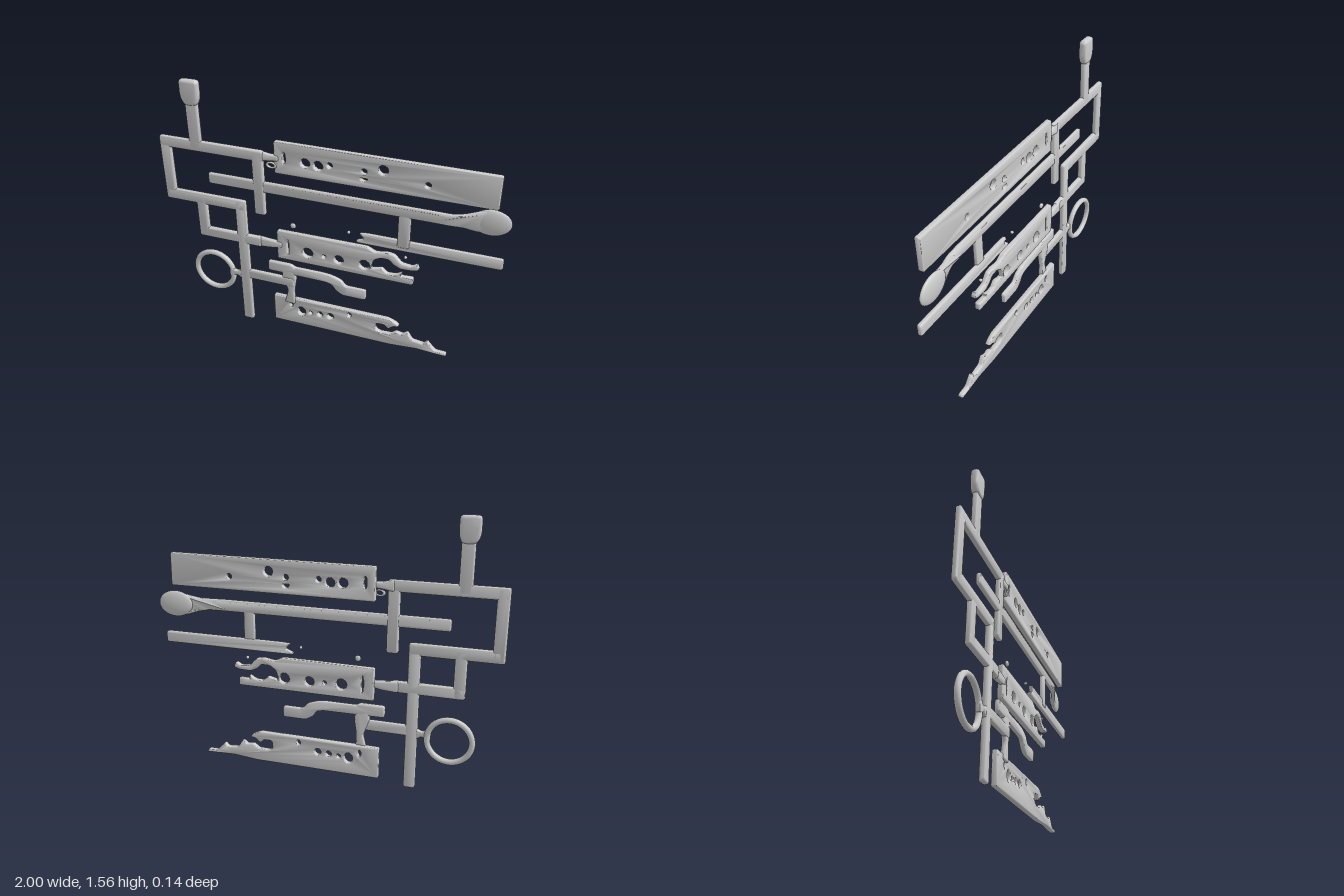
import * as THREE from 'three';
import { toCreasedNormals } from 'three/addons/utils/BufferGeometryUtils.js';

const material = new THREE.MeshStandardMaterial({ color: 0xcccccc });

// The whole relief leans slightly: depth falls to the right and rises with height
const lean = (x, y) => 0.004 - 0.02 * x + 0.019 * y;

// Closed outline with every corner softened
function softOutline(path, points, r) {
  const n = points.length;
  const v = points.map(([x, y]) => new THREE.Vector2(x, y));
  for (let i = 0; i < n; i++) {
    const p = v[i], a = v[(i + n - 1) % n], b = v[(i + 1) % n];
    const start = p.clone().lerp(a, Math.min(0.45, r / p.distanceTo(a)));
    const end = p.clone().lerp(b, Math.min(0.45, r / p.distanceTo(b)));
    if (i === 0) path.moveTo(start.x, start.y);
    else path.lineTo(start.x, start.y);
    path.quadraticCurveTo(p.x, p.y, end.x, end.y);
  }
  path.closePath();
  return path;
}

export function createModel() {
  const group = new THREE.Group();

  function add(name, geometry) {
    const mesh = new THREE.Mesh(geometry, material);
    mesh.name = name;
    group.add(mesh);
    return mesh;
  }

  // Bevelled flat piece; holes are [x, y, rx, ry]
  function plate(name, points, { holes = [], depth = 0.032, z = 0, r = 0.016, bevel = 0.011, bend = () => 0 } = {}) {
    const shape = softOutline(new THREE.Shape(), points, r);
    for (const [x, y, rx, ry = rx] of holes) {
      shape.holes.push(new THREE.Path().absellipse(x, y, rx + bevel * 0.2, ry + bevel * 0.2, 0, Math.PI * 2, true));
    }
    const geometry = new THREE.ExtrudeGeometry(shape, {
      depth: depth - 2 * bevel, bevelThickness: bevel, bevelSize: bevel,
      bevelOffset: -bevel, bevelSegments: 3, curveSegments: 5
    });
    const p = geometry.attributes.position;
    for (let i = 0; i < p.count; i++) {
      const x = p.getX(i), y = p.getY(i);
      p.setZ(i, p.getZ(i) - depth / 2 + bevel + z + lean(x, y) + bend(x));
    }
    return add(name, toCreasedNormals(geometry, 0.9));
  }

  const bar = (name, x0, x1, y0, y1, options) =>
    plate(name, [[x0, y0], [x1, y0], [x1, y1], [x0, y1]], options);

  // Upright stick with a thicker head
  bar('stick', -0.807, -0.733, 1.16, 1.5);
  plate('stickHead', [[-0.807, 1.425], [-0.733, 1.425], [-0.717, 1.47], [-0.717, 1.572], [-0.83, 1.572], [-0.83, 1.47]],
    { depth: 0.046, r: 0.025, bevel: 0.016 });

  // Stepped frame on the left
  bar('frameTop', -1, -0.36, 1.148, 1.215);
  plate('frameTopLink', [[-0.40, 1.148], [-0.33, 1.16], [-0.27, 1.165], [-0.27, 1.20], [-0.33, 1.20], [-0.40, 1.215]], { z: -0.005 });
  bar('frameSide', -1, -0.932, 0.805, 1.215);
  bar('frameBottom', -1, -0.487, 0.805, 0.875);
  bar('spine', -0.555, -0.487, 0.008, 0.875);
  bar('innerSide', -0.805, -0.738, 0.58, 0.86);
  bar('innerBottom', -0.805, -0.4, 0.58, 0.648);
  plate('innerLink', [[-0.44, 0.58], [-0.35, 0.585], [-0.27, 0.60], [-0.27, 0.635], [-0.35, 0.64], [-0.44, 0.648]], { z: -0.005 });
  bar('dropBar', -0.43, -0.362, 0.805, 1.2);

  // Long spoon bar whose tip swings back into a lens-shaped knob
  plate('spoonBar', [[-0.71, 0.955], [0.6, 0.955], [0.7, 0.953], [0.76, 0.945], [0.82, 0.925], [0.87, 0.925],
    [0.87, 1.055], [0.82, 1.045], [0.76, 1.028], [0.7, 1.022], [0.6, 1.024], [-0.71, 1.024]],
    { depth: 0.028, bend: x => -0.042 * THREE.MathUtils.smoothstep(x, 0.66, 0.87) });
  const knob = add('spoonKnob', new THREE.SphereGeometry(1, 32, 20));
  knob.scale.set(0.105, 0.077, 0.024);
  knob.position.set(0.892, 0.988, -0.04);
  knob.rotation.y = 0.06;
  bar('spoonPost', 0.412, 0.482, 0.76, 0.99, { depth: 0.026 });
  plate('railBar', [[0.18, 0.735], [0.985, 0.735], [0.985, 0.805], [0.24, 0.805], [0.19, 0.8], [0.225, 0.77], [0.175, 0.75]],
    { depth: 0.028, z: -0.006 });

  // Ring joined to the spine
  const ring = add('ring', new THREE.TorusGeometry(0.126, 0.018, 12, 48));
  ring.position.set(-0.735, 0.328, lean(-0.735, 0.328) - 0.006);
  plate('ringNeck', [[-0.63, 0.31], [-0.58, 0.335], [-0.53, 0.30], [-0.53, 0.39], [-0.58, 0.362], [-0.63, 0.38]], { depth: 0.026, bevel: 0.008 });

  // Lower branch with a cranked lever
  bar('branch', -0.53, -0.2, 0.328, 0.393, { depth: 0.03 });
  plate('branchPost', [[-0.27, 0.20], [-0.2, 0.20], [-0.205, 0.30], [-0.19, 0.39], [-0.2, 0.45], [-0.28, 0.45],
    [-0.28, 0.38], [-0.245, 0.3]], { depth: 0.03, z: -0.004 });
  plate('lever', [[-0.368, 0.42], [0.0, 0.415], [0.035, 0.405], [0.06, 0.37], [0.1, 0.345], [0.243, 0.345], [0.243, 0.415],
    [0.12, 0.415], [0.09, 0.45], [0.03, 0.47], [-0.02, 0.475], [-0.2, 0.475], [-0.22, 0.49], [-0.368, 0.49]],
    { depth: 0.03, z: -0.004 });

  // Three pierced panels, the lower two torn on the right
  const panel = { depth: 0.034, z: -0.013, r: 0.012, bevel: 0.008 };
  plate('topPanel', [[-0.298, 1.088], [0.925, 1.09], [0.925, 1.283], [-0.298, 1.283]], {
    ...panel, holes: [[-0.24, 1.19, 0.008, 0.035], [-0.117, 1.179, 0.026], [-0.043, 1.176, 0.026], [0.023, 1.19, 0.014],
      [0.214, 1.187, 0.015], [0.214, 1.145, 0.018, 0.016], [0.318, 1.214, 0.026], [0.557, 1.168, 0.015]]
  });
  plate('middlePanel', [[-0.305, 0.518], [0.513, 0.518], [0.513, 0.566], [0.44, 0.562], [0.45, 0.588], [0.41, 0.565],
    [0.36, 0.562], [0.33, 0.592], [0.265, 0.575], [0.28, 0.635], [0.32, 0.66], [0.37, 0.66], [0.40, 0.63], [0.44, 0.612],
    [0.51, 0.615], [0.545, 0.628], [0.53, 0.662], [0.5, 0.642], [0.44, 0.65], [0.40, 0.695], [0.36, 0.702], [0.29, 0.69],
    [0.24, 0.715], [-0.305, 0.712]], {
    ...panel, holes: [[-0.237, 0.61, 0.005, 0.05], [-0.115, 0.596, 0.031], [-0.015, 0.594, 0.01], [0.075, 0.591, 0.027], [0.228, 0.592, 0.03]]
  });
  plate('bottomPanel', [[-0.345, 0.045], [0.4, 0.045], [0.56, 0.058], [0.66, 0.052], [0.74, 0.05], [0.735, 0.07], [0.67, 0.072],
    [0.645, 0.1], [0.62, 0.13], [0.6, 0.105], [0.53, 0.115], [0.5, 0.165], [0.47, 0.14], [0.43, 0.15], [0.4, 0.125],
    [0.33, 0.122], [0.305, 0.14], [0.31, 0.185], [0.36, 0.185], [0.385, 0.16], [0.41, 0.185], [0.45, 0.195], [0.43, 0.215],
    [0.38, 0.236], [-0.345, 0.235]], {
    ...panel, z: -0.016, holes: [[-0.23, 0.185, 0.008, 0.02], [-0.165, 0.148, 0.024, 0.03], [-0.105, 0.15, 0.011],
      [-0.045, 0.155, 0.016], [0.022, 0.158, 0.019], [0.142, 0.2, 0.011, 0.015]]
  });

  // Loose crumbs around the torn edges, and a small loop beside the top panel
  for (const [x, y, rx, ry] of [[-0.205, 0.757, 0.018, 0.018], [0.13, 0.785, 0.01, 0.01], [0.46, 0.69, 0.01, 0.01]]) {
    const crumb = add('crumb', new THREE.SphereGeometry(1, 12, 8));
    crumb.scale.set(rx, ry, 0.011);
    crumb.position.set(x, y, lean(x, y) - 0.012);
  }
  const loop = add('smallLoop', new THREE.TorusGeometry(0.025, 0.009, 8, 20));
  loop.scale.y = 0.6;
  loop.position.set(-0.315, 1.135, lean(-0.315, 1.135));

  return group;
}
